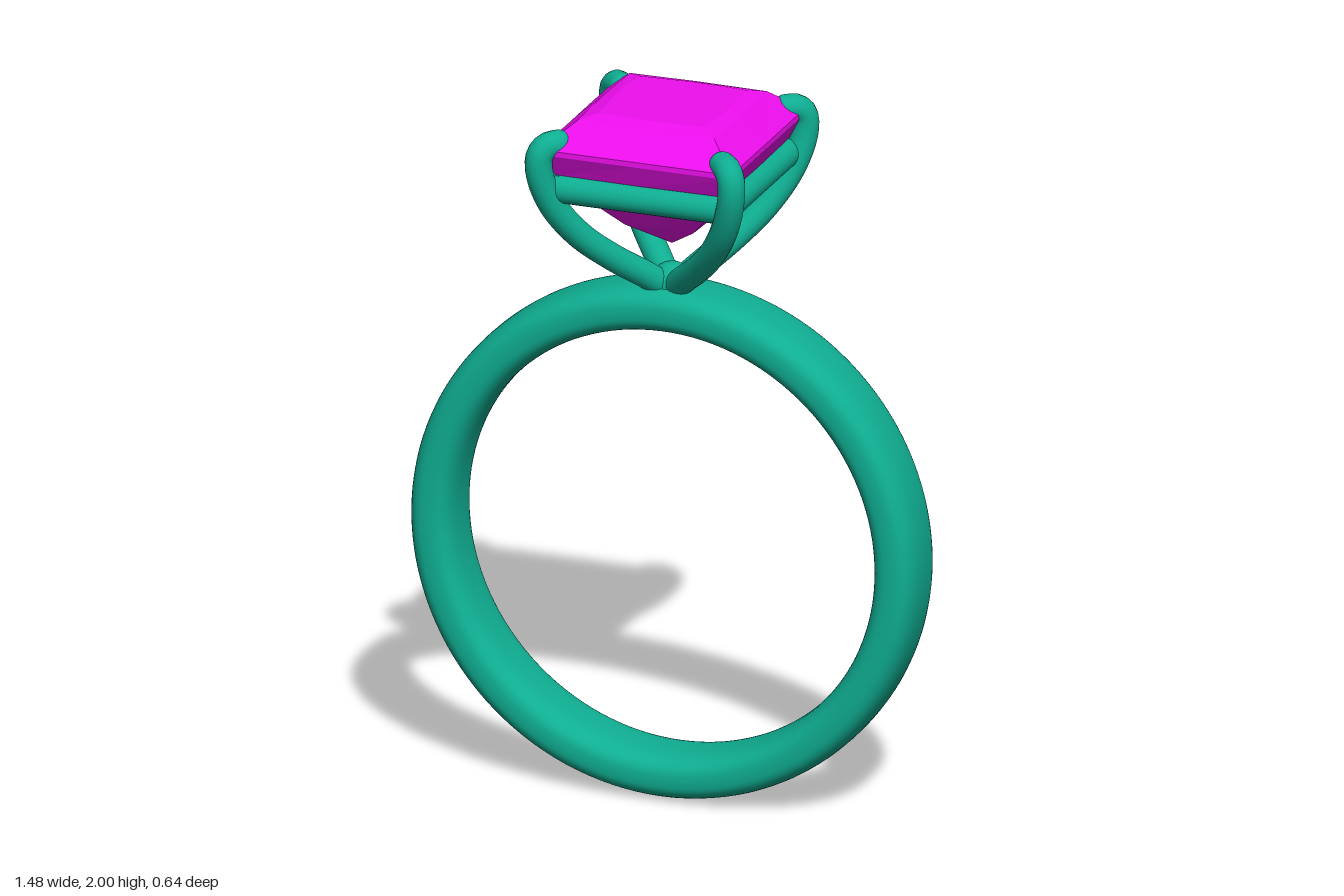
import * as THREE from 'three';

const metal = new THREE.MeshStandardMaterial({ color: 0x0fae92 });
const stone = new THREE.MeshStandardMaterial({ color: 0xee0fee, flatShading: true });

function add(parent, name, geometry, material) {
  const mesh = new THREE.Mesh(geometry, material);
  mesh.name = name;
  parent.add(mesh);
  return mesh;
}

// Rounded, comfort-fit section swept around the finger hole
function bandGeometry() {
  const points = [];
  const power = (v) => Math.sign(v) * Math.abs(v) ** 0.72;
  for (let i = 0; i <= 40; i++) {
    const a = (i / 40) * Math.PI * 2;
    points.push(new THREE.Vector2(0.675 + 0.065 * power(Math.cos(a)), 0.11 * power(Math.sin(a))));
  }
  return new THREE.LatheGeometry(points, 128).rotateX(Math.PI / 2);
}

// Square-cut stone: rings of four corners and four edge midpoints
function gemGeometry() {
  // [half-width at corners, half-width at edge middles, height]
  const rings = [
    [0, 0, 1.59], [0.1, 0.105, 1.665], [0.185, 0.19, 1.76], [0.245, 0.248, 1.84],
    [0.28, 0.28, 1.905], [0.28, 0.28, 1.92], [0.2, 0.205, 1.987], [0.155, 0.165, 2], [0, 0, 2],
  ];
  const dirs = [[1, 1], [0, 1], [-1, 1], [-1, 0], [-1, -1], [0, -1], [1, -1], [1, 0]];
  const positions = [];
  const index = [];
  for (const [corner, middle, y] of rings) {
    dirs.forEach(([x, z], i) => {
      const r = i % 2 ? middle : corner;
      positions.push(x * r, y, z * r);
    });
  }
  for (let j = 0; j < rings.length - 1; j++) {
    for (let i = 0; i < 8; i++) {
      const a = j * 8 + i, b = j * 8 + ((i + 1) % 8), c = b + 8, d = a + 8;
      if (j > 0) index.push(a, d, b);
      if (j < rings.length - 2) index.push(b, d, c);
      if (j === 0) index.push(a, d, c);
    }
  }
  const geometry = new THREE.BufferGeometry();
  geometry.setAttribute('position', new THREE.Float32BufferAttribute(positions, 3));
  geometry.setIndex(index);
  const flat = geometry.toNonIndexed();
  flat.computeVertexNormals();
  return flat;
}

export function createModel() {
  const ring = new THREE.Group();
  ring.name = 'ring';

  const band = add(ring, 'band', bandGeometry(), metal);
  band.position.y = 0.74;

  add(ring, 'gem', gemGeometry(), stone);

  const setting = new THREE.Group();
  setting.name = 'setting';
  ring.add(setting);

  // Four prongs rise along the diagonals and hook over the gem corners
  const profile = [
    [0.01, 1.465], [0.055, 1.51], [0.12, 1.57], [0.195, 1.655], [0.252, 1.755],
    [0.279, 1.85], [0.278, 1.905], [0.262, 1.927], [0.24, 1.93],
  ];
  for (const sx of [1, -1]) {
    for (const sz of [1, -1]) {
      const path = new THREE.CatmullRomCurve3(
        profile.map(([r, y]) => new THREE.Vector3(sx * r, y, sz * r)));
      add(setting, 'prong', new THREE.TubeGeometry(path, 48, 0.038, 16), metal);
      const tip = add(setting, 'prongTip', new THREE.SphereGeometry(0.038, 16, 12), metal);
      tip.position.set(sx * 0.24, 1.93, sz * 0.24);
    }
  }

  // Square gallery of four round rails under the gem
  for (let i = 0; i < 4; i++) {
    const rail = new THREE.Group();
    rail.name = 'galleryRail';
    rail.rotation.y = (i * Math.PI) / 2;
    const bar = new THREE.CylinderGeometry(0.04, 0.04, 0.5, 20).rotateZ(Math.PI / 2);
    add(rail, 'railBar', bar, metal).position.set(0, 1.8, 0.24);
    setting.add(rail);
  }

  // Small collar where the prongs meet the band
  const base = add(setting, 'settingBase', new THREE.SphereGeometry(0.06, 20, 14), metal);
  base.position.y = 1.475;

  return ring;
}
